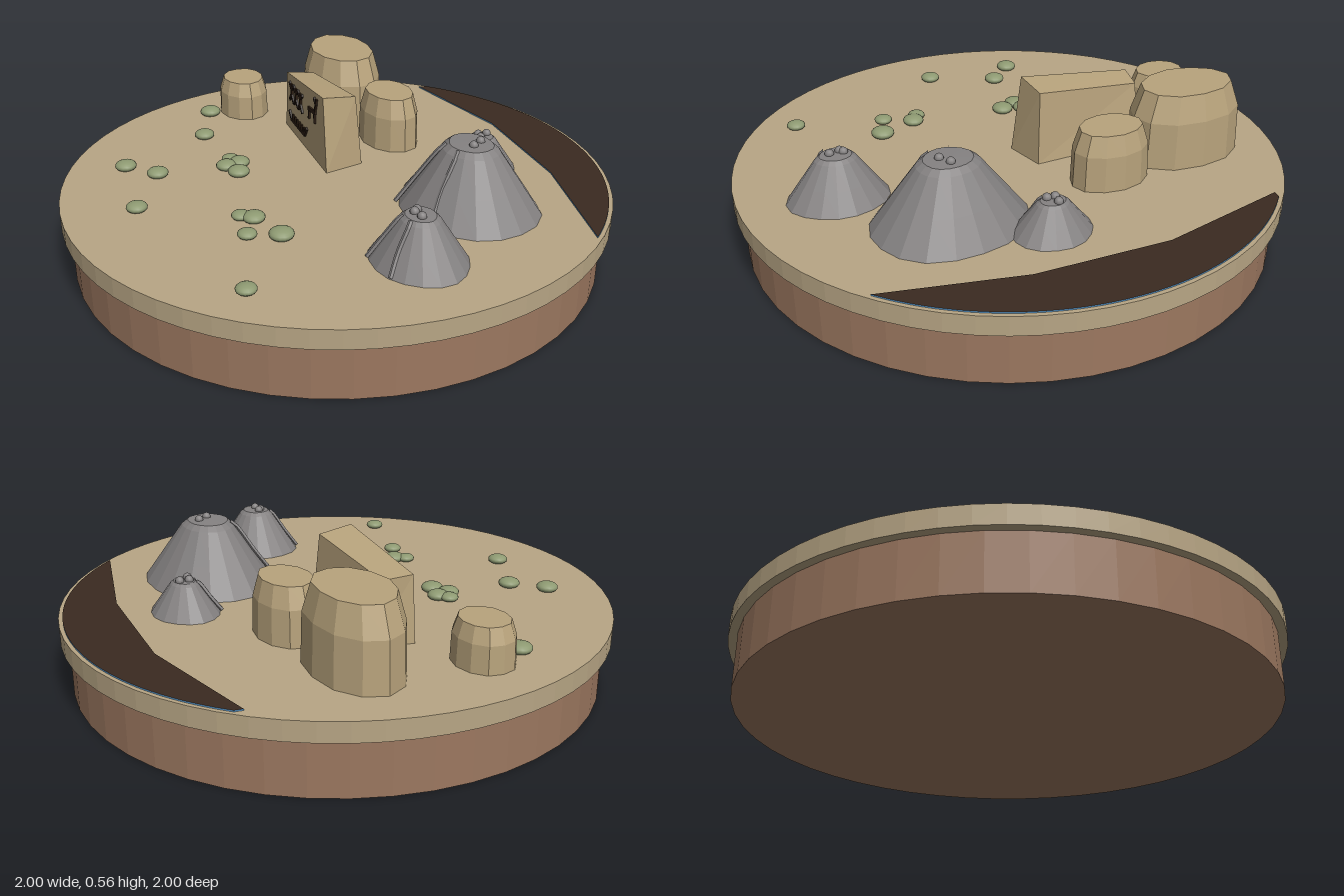
import * as THREE from 'three';

const mat = (name, color) => {
  const m = new THREE.MeshStandardMaterial({ color });
  m.name = name;
  return m;
};

export function createModel() {
  const model = new THREE.Group();
  const sand = mat('sand', 0xb8a685);
  const earth = mat('earth brown', 0x9c7860);
  const stone = mat('tan stone', 0xb8a37c);
  const grey = mat('volcanic grey', 0x858282);
  const green = mat('sage green', 0x8e9a72);
  const dark = mat('dark soil', 0x3a2a20);
  const ink = mat('carving brown', 0x2c1d12);
  const blue = mat('water blue', 0x5b9bd0);
  const G = 0.27; // ground level

  const add = (parent, name, geometry, material, x = 0, y = 0, z = 0) => {
    const m = new THREE.Mesh(geometry, material);
    m.name = name;
    m.position.set(x, y, z);
    parent.add(m);
    return m;
  };
  const flat = (geometry) => {
    const g = geometry.index ? geometry.toNonIndexed() : geometry;
    g.computeVertexNormals();
    return g;
  };

  // Round base with an overhanging sandy top
  add(model, 'baseDrum', flat(new THREE.CylinderGeometry(0.97, 0.97, 0.2, 48)), earth, 0, 0.1, 0);
  add(model, 'groundDisc', flat(new THREE.CylinderGeometry(1, 1, 0.07, 64)), sand, 0, 0.235, 0);

  // Crescent of dark soil along the back rim, with a blue waterline edge
  const crescent = new THREE.Shape();
  crescent.moveTo(0.92, 0.345);
  crescent.absarc(0, 0, 0.985, Math.atan2(0.345, 0.92), Math.atan2(0.89, -0.42), false);
  crescent.lineTo(-0.435, 0.865);
  crescent.lineTo(0.06, 0.797);
  crescent.lineTo(0.51, 0.615);
  crescent.closePath();
  const shore = new THREE.ExtrudeGeometry(crescent, { depth: 0.005, bevelEnabled: false, curveSegments: 28 });
  shore.rotateX(-Math.PI / 2);
  add(model, 'shoreCrescent', shore, [dark, blue], 0, G, 0);

  // Faceted solid turned from a profile of [radius, height], with uneven sides
  const lump = (profile, sides, rx, h, rz, turn, rough, seed) => {
    const g = new THREE.LatheGeometry(profile.map(([r, y]) => new THREE.Vector2(r, y)), sides);
    const p = g.attributes.position;
    for (let i = 0; i < p.count; i++) {
      const a = Math.atan2(p.getX(i), p.getZ(i));
      const k = 1 + rough * (Math.sin(3 * a + seed) + 0.7 * Math.sin(5 * a + 2 * seed));
      p.setXYZ(i, p.getX(i) * k * rx, p.getY(i) * h, p.getZ(i) * k * rz);
    }
    g.rotateY(turn);
    return flat(g);
  };

  // Flat-topped boulders: x, z, radii, height, turn
  const boulderProfile = [[0, 0], [1, 0], [0.97, 0.64], [0.8, 1], [0, 1]];
  [
    [-0.475, -0.435, 0.222, 0.15, 0.275, -0.35],
    [-0.122, -0.38, 0.148, 0.108, 0.205, -0.3],
    [-0.74, -0.12, 0.12, 0.1, 0.15, -0.35],
  ].forEach(([x, z, rx, rz, h, turn], i) =>
    add(model, 'boulder' + (i + 1), lump(boulderProfile, 12, rx, h, rz, turn, 0.015, i + 1), stone, x, G, z));

  // Cone mounds with summit pebbles and a rough trickle down the front
  const moundProfile = [[1, 0], [0.7, 0.46], [0.4, 0.92], [0.31, 1], [0, 1.01]];
  [
    { x: 0.475, z: -0.2, rx: 0.275, rz: 0.236, h: 0.235, sides: 18, pebbles: [[0.49, -0.23], [0.5, -0.185]] },
    { x: 0.632, z: 0.193, rx: 0.18, rz: 0.158, h: 0.16, sides: 18, pebbles: [[0.605, 0.185], [0.648, 0.205], [0.61, 0.2]] },
    { x: 0.282, z: -0.483, rx: 0.142, rz: 0.118, h: 0.115, sides: 16, pebbles: [[0.28, -0.505], [0.265, -0.475], [0.29, -0.462]] },
  ].forEach((m, i) => {
    const mound = new THREE.Group();
    mound.name = 'mound' + (i + 1);
    mound.position.set(m.x, G, m.z);
    model.add(mound);
    add(mound, 'cone', lump(moundProfile, m.sides, m.rx, m.h, m.rz, -0.25, 0.018, i * 2 + 1), grey);
    m.pebbles.forEach(([px, pz]) =>
      add(mound, 'pebble', new THREE.SphereGeometry(0.016, 10, 8), grey, px - m.x, m.h + 0.004, pz - m.z));
    [0.12, -0.75].forEach((a) => {
      const path = new THREE.CatmullRomCurve3([[0.33, 0.98], [0.42, 0.9], [0.7, 0.46], [1, 0.02]].map(
        ([r, y], k) => new THREE.Vector3(
          Math.sin(a + 0.05 * (k % 2)) * r * m.rx, y * m.h, Math.cos(a + 0.05 * (k % 2)) * r * m.rz)));
      add(mound, 'trickle', flat(new THREE.TubeGeometry(path, 8, 0.008, 5)), grey);
    });
  });

  // Leaning slab: corners keyed by right / top / front
  const corners = {
    '000': [-0.41, G, -0.275], '100': [-0.015, G, -0.14],
    '001': [-0.5, G, -0.16], '101': [-0.035, G, 0.017],
    '010': [-0.425, 0.495, -0.245], '110': [-0.035, 0.54, -0.125],
    '011': [-0.48, 0.505, -0.152], '111': [-0.07, 0.555, 0.003],
  };
  const slab = new THREE.BoxGeometry(1, 1, 1);
  const sp = slab.attributes.position;
  for (let i = 0; i < sp.count; i++) {
    const key = [sp.getX(i), sp.getY(i), sp.getZ(i)].map((v) => (v > 0 ? 1 : 0)).join('');
    sp.setXYZ(i, ...corners[key]);
  }
  add(model, 'carvedSlab', flat(slab), stone);

  // Carvings: thin strokes laid on the slab's front face
  const tilt = Math.atan(0.38);
  const carvings = new THREE.Group();
  carvings.name = 'carvings';
  carvings.position.set(-0.5, 0, -0.16);
  carvings.rotation.y = -tilt;
  model.add(carvings);
  const stroke = (name, pts, w = 0.011) => {
    for (let i = 0; i + 1 < pts.length; i++) {
      const [x1, y1, x2, y2] = [...pts[i], ...pts[i + 1]];
      const ax = (x1 + 0.5) / Math.cos(tilt), bx = (x2 + 0.5) / Math.cos(tilt);
      const len = Math.hypot(bx - ax, y2 - y1) + w * 0.6;
      const s = add(carvings, name, new THREE.BoxGeometry(len, w, 0.009), ink, (ax + bx) / 2, (y1 + y2) / 2, 0.003);
      s.rotation.z = Math.atan2(y2 - y1, bx - ax);
    }
  };
  // three dancing figures
  [-0.413, -0.362, -0.311].forEach((x) => {
    stroke('figureArms', [[x - 0.023, 0.478], [x, 0.455], [x + 0.023, 0.478]]);
    stroke('figureBody', [[x, 0.475], [x, 0.435]], 0.015);
    stroke('figureLegs', [[x - 0.021, 0.408], [x, 0.437], [x + 0.021, 0.408]]);
  });
  // boat with rowers
  stroke('boatHull', [[-0.442, 0.352], [-0.42, 0.325], [-0.265, 0.325], [-0.243, 0.358]], 0.013);
  for (let i = 0; i < 6; i++) stroke('rower', [[-0.405 + i * 0.026, 0.325], [-0.402 + i * 0.026, 0.35]], 0.009);
  // deer
  stroke('deerBody', [[-0.213, 0.458], [-0.145, 0.468]], 0.015);
  stroke('deerLegs', [[-0.207, 0.458], [-0.212, 0.42]], 0.009);
  stroke('deerLegs', [[-0.152, 0.465], [-0.148, 0.425]], 0.009);
  stroke('deerNeck', [[-0.147, 0.468], [-0.133, 0.505], [-0.152, 0.522]], 0.01);
  stroke('deerAntler', [[-0.133, 0.505], [-0.127, 0.526]], 0.008);

  // Low round shrubs: x, z, radius
  [
    [-0.79, 0.02, 0.042], [-0.605, 0.175, 0.039], [-0.35, 0.23, 0.033], [-0.305, 0.22, 0.039],
    [-0.312, 0.275, 0.039], [-0.24, 0.27, 0.041], [-0.555, 0.563, 0.04], [-0.425, 0.505, 0.04],
    [-0.238, 0.705, 0.038], [0.045, 0.467, 0.033], [0.084, 0.44, 0.04], [0.237, 0.44, 0.044],
    [0.164, 0.527, 0.034], [0.434, 0.728, 0.035],
  ].forEach(([x, z, r]) => {
    const shrub = add(model, 'shrub', new THREE.SphereGeometry(r, 16, 10), green, x, G + 0.014, z);
    shrub.scale.y = 0.5;
  });

  return model;
}
